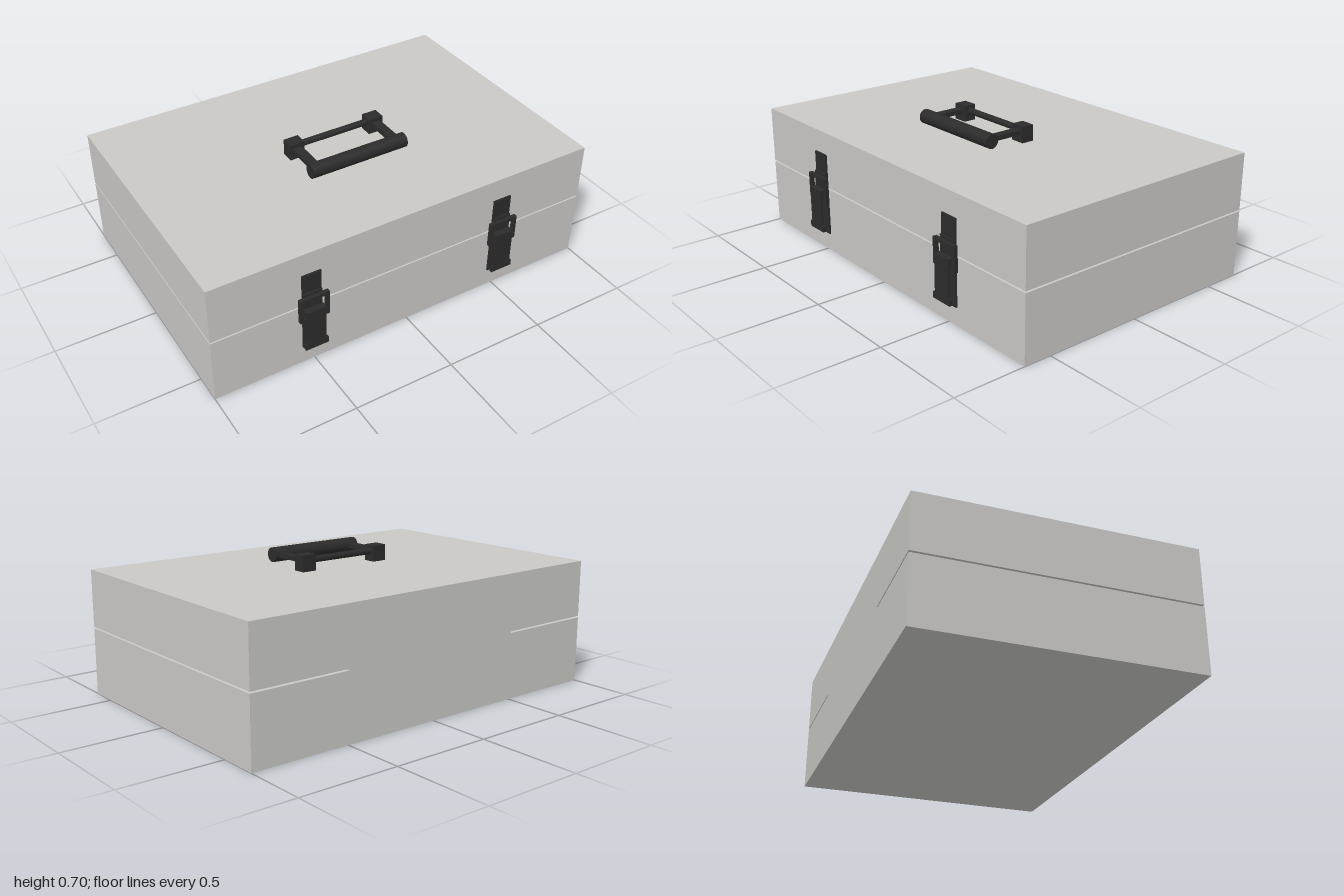
import * as THREE from 'three';

export function createModel() {
  const caseGrey = new THREE.MeshStandardMaterial({ color: 0xc9c8c5 });
  caseGrey.name = 'case grey';
  const hardwareBlack = new THREE.MeshStandardMaterial({ color: 0x2b2b2b });
  hardwareBlack.name = 'hardware black';

  const model = new THREE.Group();
  model.name = 'case';

  const add = (parent, name, geometry, material) => {
    const mesh = new THREE.Mesh(geometry, material);
    mesh.name = name;
    parent.add(mesh);
    return mesh;
  };
  // Box given by its [min, max] range on each axis
  const box = (parent, name, x, y, z, material = hardwareBlack) => {
    const mesh = add(parent, name, new THREE.BoxGeometry(x[1] - x[0], y[1] - y[0], z[1] - z[0]), material);
    mesh.position.set((x[0] + x[1]) / 2, (y[0] + y[1]) / 2, (z[0] + z[1]) / 2);
    return mesh;
  };
  // Round bar lying along x
  const bar = (parent, name, radius, length, y, z) => {
    const geometry = new THREE.CylinderGeometry(radius, radius, length, 32).rotateZ(Math.PI / 2);
    add(parent, name, geometry, hardwareBlack).position.set(0, y, z);
  };

  // Base and lid, parted by a thin gap and joined by a flush hinge at the back
  const depth = [-0.69, 0.64];
  box(model, 'base', [-1, 1], [0, 0.33], depth, caseGrey);
  box(model, 'lid', [-1, 1], [0.338, 0.62], depth, caseGrey);
  box(model, 'hinge', [-0.5, 0.5], [0.33, 0.338], [-0.69, -0.645], caseGrey);

  // Carrying handle, folded forward over the lid
  const handle = new THREE.Group();
  handle.name = 'handle';
  model.add(handle);
  for (const side of [-1, 1]) {
    const range = (a, b) => (side > 0 ? [a, b] : [-b, -a]);
    box(handle, 'handleBracket', range(0.18, 0.256), [0.62, 0.7], [-0.057, 0.008]);
    box(handle, 'handleArm', range(0.195, 0.241), [0.659, 0.681], [0.005, 0.19]);
  }
  bar(handle, 'handlePivotRod', 0.016, 0.37, 0.67, -0.028);
  bar(handle, 'handleGrip', 0.036, 0.512, 0.669, 0.193);

  // Two front latches: backing plate, hook, wire loop and lever
  for (const x of [-0.513, 0.513]) {
    const latch = new THREE.Group();
    latch.name = 'latch';
    latch.position.x = x;
    model.add(latch);
    const width = [-0.048, 0.048];
    box(latch, 'latchUpperPlate', width, [0.338, 0.508], [0.638, 0.648]);
    box(latch, 'latchLowerPlate', width, [0.092, 0.33], [0.638, 0.648]);
    box(latch, 'latchHook', width, [0.25, 0.41], [0.646, 0.656]);

    const loop = new THREE.Shape([[-0.074, 0.27], [0.074, 0.27], [0.074, 0.396], [-0.074, 0.396]]
      .map(([a, b]) => new THREE.Vector2(a, b)));
    loop.holes.push(new THREE.Path([[-0.058, 0.286], [-0.058, 0.38], [0.058, 0.38], [0.058, 0.286]]
      .map(([a, b]) => new THREE.Vector2(a, b))));
    const loopGeometry = new THREE.ExtrudeGeometry(loop, { depth: 0.02, bevelEnabled: false });
    add(latch, 'latchLoop', loopGeometry, hardwareBlack).position.z = 0.655;

    box(latch, 'latchPivot', width, [0.27, 0.33], [0.654, 0.682]);
    box(latch, 'latchLever', width, [0.115, 0.33], [0.68, 0.688]);
    box(latch, 'latchLeverLip', [-0.058, 0.058], [0.115, 0.146], [0.675, 0.69]);
  }

  return model;
}
